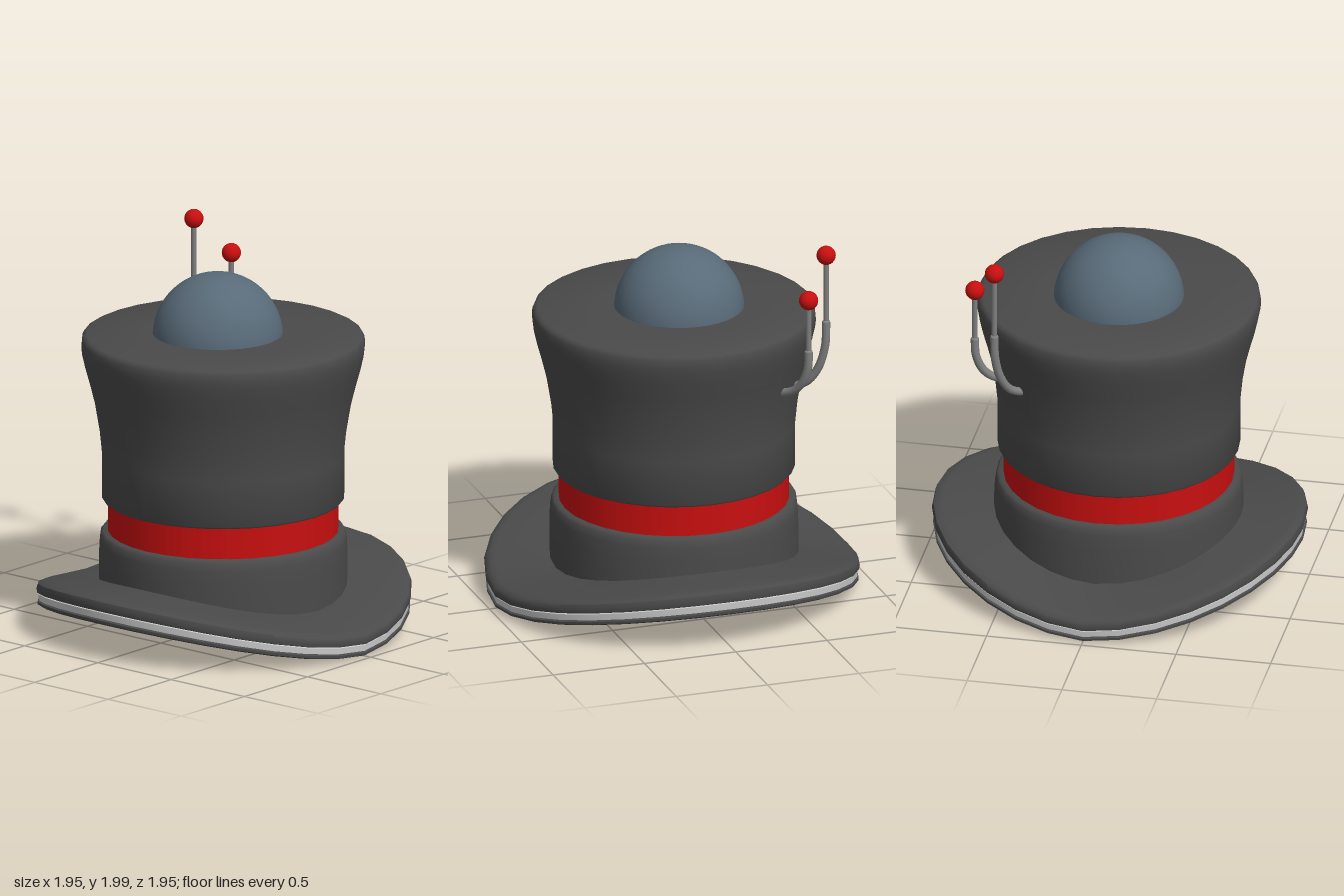
import * as THREE from 'three';
import { toCreasedNormals } from 'three/addons/utils/BufferGeometryUtils.js';

const SEGMENTS = 32;
const mat = (color) => new THREE.MeshStandardMaterial({ color });
const felt = mat(0x4a4a4a);
const red = mat(0xc80f0f);
const glass = mat(0x586a78);
const metal = mat(0x808080);
const trim = mat(0xcccccc);

function lathe(points, segments = SEGMENTS) {
  return new THREE.LatheGeometry(points.map(([r, y]) => new THREE.Vector2(r, y)), segments);
}

function addMesh(parent, name, geometry, material) {
  const mesh = new THREE.Mesh(geometry, material);
  mesh.name = name;
  parent.add(mesh);
  return mesh;
}

// Saddle-shaped brim: profile heights run 0 (underside) to 1 (upper side)
function brimGeometry(profile) {
  const R = 0.97, CROWN = 0.63;
  const geometry = lathe(profile);
  const pos = geometry.attributes.position;
  const { lerp, clamp } = THREE.MathUtils;
  for (let i = 0; i < pos.count; i++) {
    const x = pos.getX(i), z = pos.getZ(i), r = Math.hypot(x, z);
    const side = r > 0 ? Math.abs(x) / r : 0;
    const curl = side ** 1.5;
    const under = lerp(0.055, 0.005 + 0.195 * curl, Math.min(r / R, 1));
    const inner = 0.19 + 0.13 * side ** 1.8;
    const upper = lerp(inner, 0.13 + 0.208 * curl, clamp((r - CROWN) / (R - CROWN), 0, 1));
    pos.setY(i, lerp(under, upper, pos.getY(i)));
  }
  return toCreasedNormals(geometry, 0.8);
}

// Ball-topped pin: bent sleeve out of the crown, thin rod and ball
function antenna(ball, sleeveTop, root) {
  const group = new THREE.Group();
  group.name = 'antenna';
  const at = (k, y) => new THREE.Vector3(
    THREE.MathUtils.lerp(root.x, ball.x, k), y, THREE.MathUtils.lerp(root.z, ball.z, k));
  const rise = sleeveTop - root.y;
  const path = new THREE.CatmullRomCurve3([
    at(-0.3, root.y - 0.01), at(0, root.y), at(0.4, root.y + rise * 0.1),
    at(0.75, root.y + rise * 0.32), at(0.97, root.y + rise * 0.66), at(1, sleeveTop),
  ]);
  addMesh(group, 'antennaSleeve', new THREE.TubeGeometry(path, 28, 0.022, 12), metal);
  const cap = addMesh(group, 'sleeveCap', new THREE.SphereGeometry(0.022, 12, 8), metal);
  cap.position.set(ball.x, sleeveTop, ball.z);
  cap.scale.y = 0.6;
  const length = ball.y - sleeveTop;
  const rod = addMesh(group, 'antennaRod', new THREE.CylinderGeometry(0.014, 0.014, length, 12), metal);
  rod.position.set(ball.x, sleeveTop + length / 2, ball.z);
  addMesh(group, 'antennaBall', new THREE.SphereGeometry(0.05, 24, 16), red).position.copy(ball);
  return group;
}

export function createModel() {
  const model = new THREE.Group();
  model.name = 'topHat';

  // Brim: two rolled edges with a pale piping between them
  const brim = new THREE.Group();
  brim.name = 'brim';
  model.add(brim);
  addMesh(brim, 'brimUnderside', brimGeometry([
    [0, 0], [0.5, 0], [0.92, 0], [0.95, 0.01], [0.966, 0.07], [0.967, 0.17], [0.945, 0.23],
  ]), felt);
  addMesh(brim, 'brimPiping', brimGeometry([
    [0.94, 0.2], [0.96, 0.23], [0.962, 0.48], [0.94, 0.52],
  ]), trim);
  addMesh(brim, 'brimTop', brimGeometry([
    [0.945, 0.48], [0.968, 0.54], [0.973, 0.72], [0.965, 0.9], [0.94, 0.98], [0.915, 1],
    [0.78, 1], [0.63, 1], [0.58, 1],
  ]), felt);

  // Crown: lower band, ribbon and flared upper part
  const crown = new THREE.Group();
  crown.name = 'crown';
  crown.position.set(0.004, 0, -0.009);
  model.add(crown);
  addMesh(crown, 'crownBase', toCreasedNormals(lathe([
    [0.645, 0.13], [0.645, 0.38], [0.641, 0.46], [0.635, 0.5], [0.622, 0.515], [0.58, 0.515],
  ]), 0.9), felt);
  addMesh(crown, 'ribbon', lathe([[0.597, 0.5], [0.597, 0.7]]), red);
  addMesh(crown, 'crownTop', toCreasedNormals(lathe([
    [0.58, 0.683], [0.62, 0.683], [0.628, 0.694], [0.628, 0.93], [0.64, 1.05], [0.665, 1.2],
    [0.69, 1.3], [0.715, 1.39], [0.731, 1.46], [0.736, 1.5], [0.733, 1.535],
    [0.725, 1.553], [0.708, 1.562], [0.4, 1.562], [0, 1.562],
  ]), 0.9), felt);

  // Domed lens on the crown
  const dome = addMesh(model, 'dome',
    new THREE.SphereGeometry(0.338, 40, 20, 0, Math.PI * 2, 0, Math.PI / 2), glass);
  dome.position.set(-0.003, 1.542, -0.04);

  // Pair of antennae at the rear left
  model.add(
    antenna(new THREE.Vector3(0.528, 1.95, -0.66), 1.58, new THREE.Vector3(0.42, 1.205, -0.53)),
    antenna(new THREE.Vector3(0.66, 1.765, -0.518), 1.48, new THREE.Vector3(0.53, 1.22, -0.43)),
  );
  return model;
}
